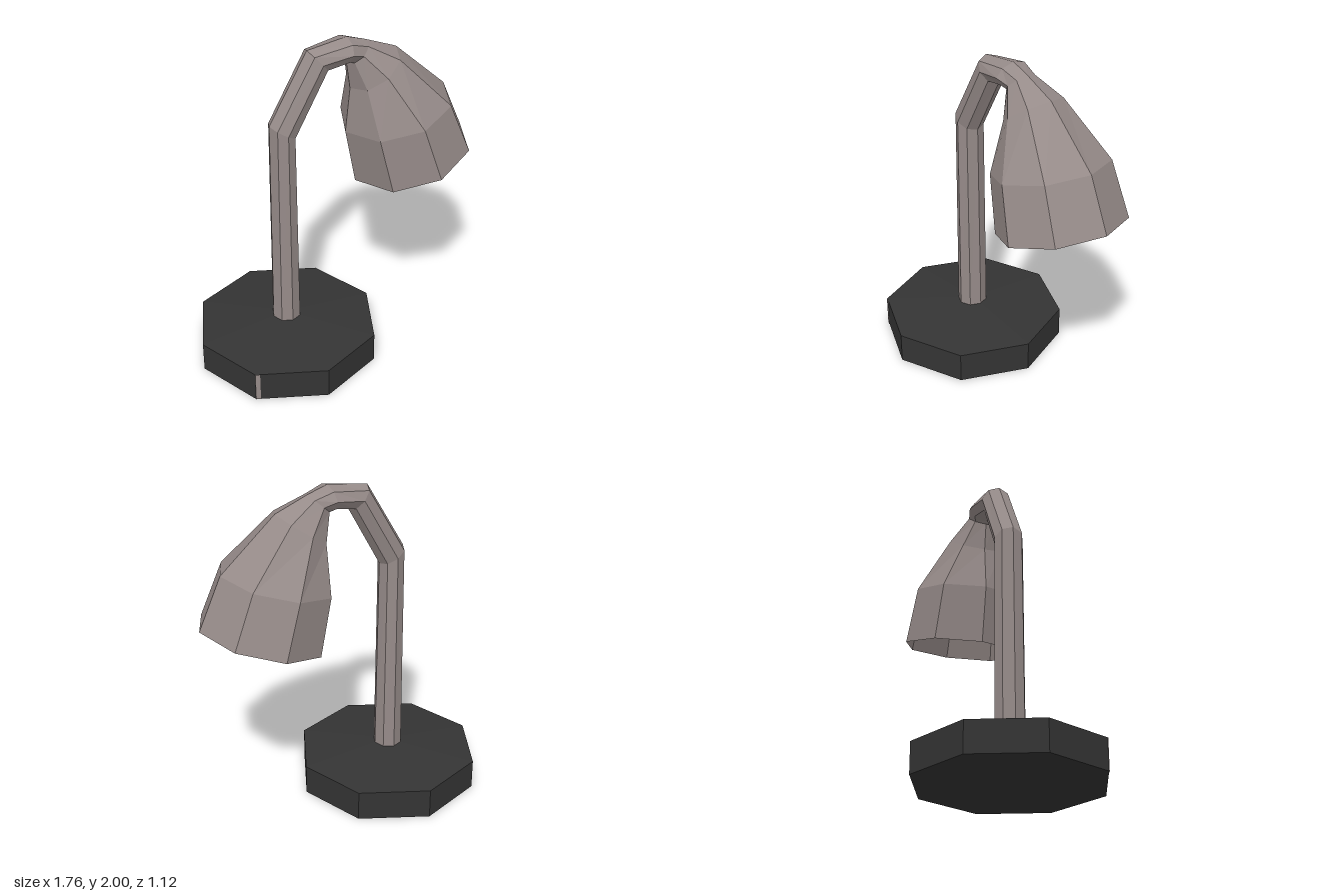
import * as THREE from 'three';

const SIDES = 8;

// Skin a row of octagonal rings. Each ring: [outerX, outerY, innerX, innerY, halfDepth]
function loft(rings, material, name) {
  const pos = [];
  const idx = [];
  rings.forEach(([ox, oy, ix, iy, rz], i) => {
    const cx = (ox + ix) / 2, cy = (oy + iy) / 2;
    for (let j = 0; j < SIDES; j++) {
      const a = (j / SIDES) * Math.PI * 2;
      pos.push(cx + (ox - cx) * Math.cos(a), cy + (oy - cy) * Math.cos(a), rz * Math.sin(a));
      if (i === rings.length - 1) continue;
      const k = (j + 1) % SIDES;
      const p = i * SIDES + j, q = i * SIDES + k;
      idx.push(p, q, q + SIDES, p, q + SIDES, p + SIDES);
    }
  });
  const indexed = new THREE.BufferGeometry();
  indexed.setAttribute('position', new THREE.Float32BufferAttribute(pos, 3));
  indexed.setIndex(idx);
  const geo = indexed.toNonIndexed();
  geo.computeVertexNormals();
  const mesh = new THREE.Mesh(geo, material);
  mesh.name = name;
  return mesh;
}

export function createModel() {
  const lamp = new THREE.Group();
  lamp.name = 'deskLamp';

  const metal = new THREE.MeshStandardMaterial({ color: 0x968b89, flatShading: true, side: THREE.DoubleSide });
  metal.name = 'warmGreyMetal';
  const dark = new THREE.MeshStandardMaterial({ color: 0x343434, flatShading: true });
  dark.name = 'charcoal';

  // Base: octagonal block with a shallow sloped top
  const baseX = -0.32;
  const base = new THREE.Group();
  base.name = 'base';
  base.position.x = baseX;
  const block = new THREE.Mesh(new THREE.CylinderGeometry(0.562, 0.562, 0.185, SIDES, 1), dark);
  block.name = 'baseBlock';
  block.position.y = 0.0925;
  const slope = new THREE.Mesh(new THREE.CylinderGeometry(0.08, 0.562, 0.05, SIDES, 1, true), dark);
  slope.name = 'baseTop';
  slope.position.y = 0.21;
  base.add(block, slope);

  // Narrow light strip beside one front corner of the base
  const strip = new THREE.Mesh(new THREE.BoxGeometry(0.028, 0.183, 0.006), metal);
  strip.name = 'baseStrip';
  strip.position.set(-0.384, 0.0925, 0.403);
  strip.rotation.y = -Math.PI / 8;
  base.add(strip);
  lamp.add(base);

  // Arm: upright post bending over at the top
  const neck = [0.21, 1.958, 0.085, 1.845, 0.092];
  lamp.add(loft([
    [-0.41, 0.2, -0.235, 0.2, 0.091],
    [-0.4, 1.555, -0.246, 1.463, 0.088],
    [-0.161, 1.967, -0.045, 1.832, 0.09],
    [0.087, 2.0, 0.062, 1.857, 0.112],
    neck,
  ], metal, 'arm'));

  // Shade: open bell flaring from the neck
  lamp.add(loft([
    neck,
    [0.405, 1.877, 0.11, 1.676, 0.18],
    [0.74, 1.57, 0.082, 1.4, 0.342],
    [0.878, 1.257, 0.15, 1.055, 0.38],
  ], metal, 'shade'));

  return lamp;
}
